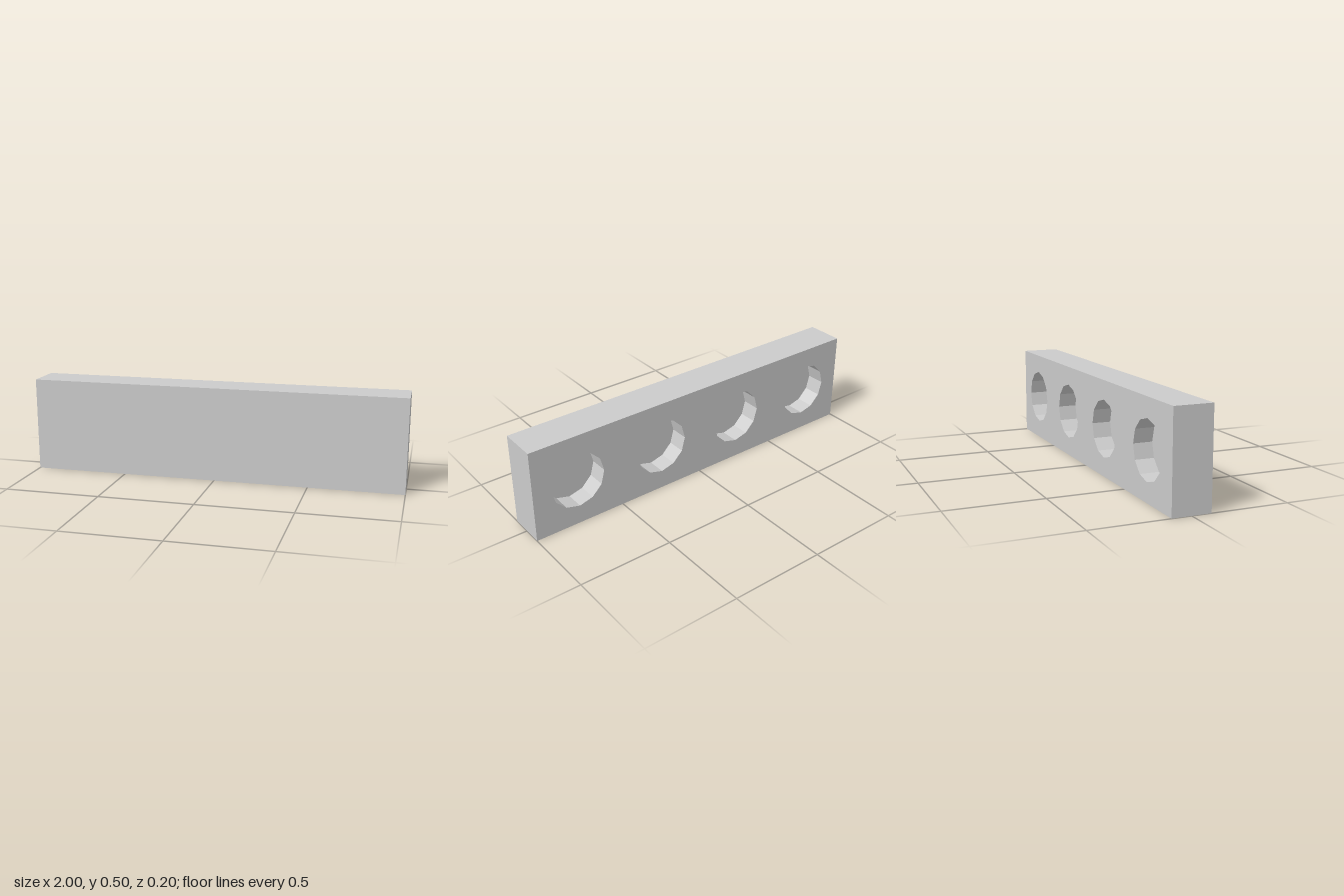
import * as THREE from 'three';

const WIDTH = 2, HEIGHT = 0.5, DEPTH = 0.2;
const RADIUS = 0.15, RECESS = 0.1, SIDES = 12;
const HOLES_X = [-0.75, -0.25, 0.25, 0.75];

export function createModel() {
  const group = new THREE.Group();
  group.name = 'recessedBar';
  const material = new THREE.MeshStandardMaterial({ color: 0xcccccc, flatShading: true });

  const add = (name, geometry, x, y, z) => {
    const mesh = new THREE.Mesh(geometry, material);
    mesh.name = name;
    mesh.position.set(x, y, z);
    group.add(mesh);
  };

  // Bar body: a box left open at the back (its last six indices are the -z face)
  const body = new THREE.BoxGeometry(WIDTH, HEIGHT, DEPTH);
  body.setIndex(Array.from(body.index.array).slice(0, 30));
  body.clearGroups();
  add('barBody', body, 0, HEIGHT / 2, 0);

  // Back face, pierced by four twelve-sided holes
  const w = WIDTH / 2, h = HEIGHT / 2;
  const outline = new THREE.Shape([[-w, -h], [w, -h], [w, h], [-w, h]].map(p => new THREE.Vector2(...p)));
  for (const x of HOLES_X) {
    const points = [];
    for (let i = 0; i < SIDES; i++) {
      const a = -i / SIDES * Math.PI * 2;
      points.push(new THREE.Vector2(x + RADIUS * Math.cos(a), RADIUS * Math.sin(a)));
    }
    outline.holes.push(new THREE.Path(points));
  }
  add('backFace', new THREE.ShapeGeometry(outline).rotateY(Math.PI), 0, h, -DEPTH / 2);

  // Recess walls face inwards: mirroring turns the cylinder inside out
  const wall = new THREE.CylinderGeometry(RADIUS, RADIUS, RECESS, SIDES, 1, true)
    .rotateX(Math.PI / 2).scale(-1, 1, 1).toNonIndexed();
  wall.computeVertexNormals();
  const floor = new THREE.CircleGeometry(RADIUS, SIDES).rotateY(Math.PI);

  HOLES_X.forEach((x, i) => {
    add(`recessWall${i + 1}`, wall, x, h, -DEPTH / 2 + RECESS / 2);
    add(`recessFloor${i + 1}`, floor, x, h, -DEPTH / 2 + RECESS);
  });

  return group;
}
